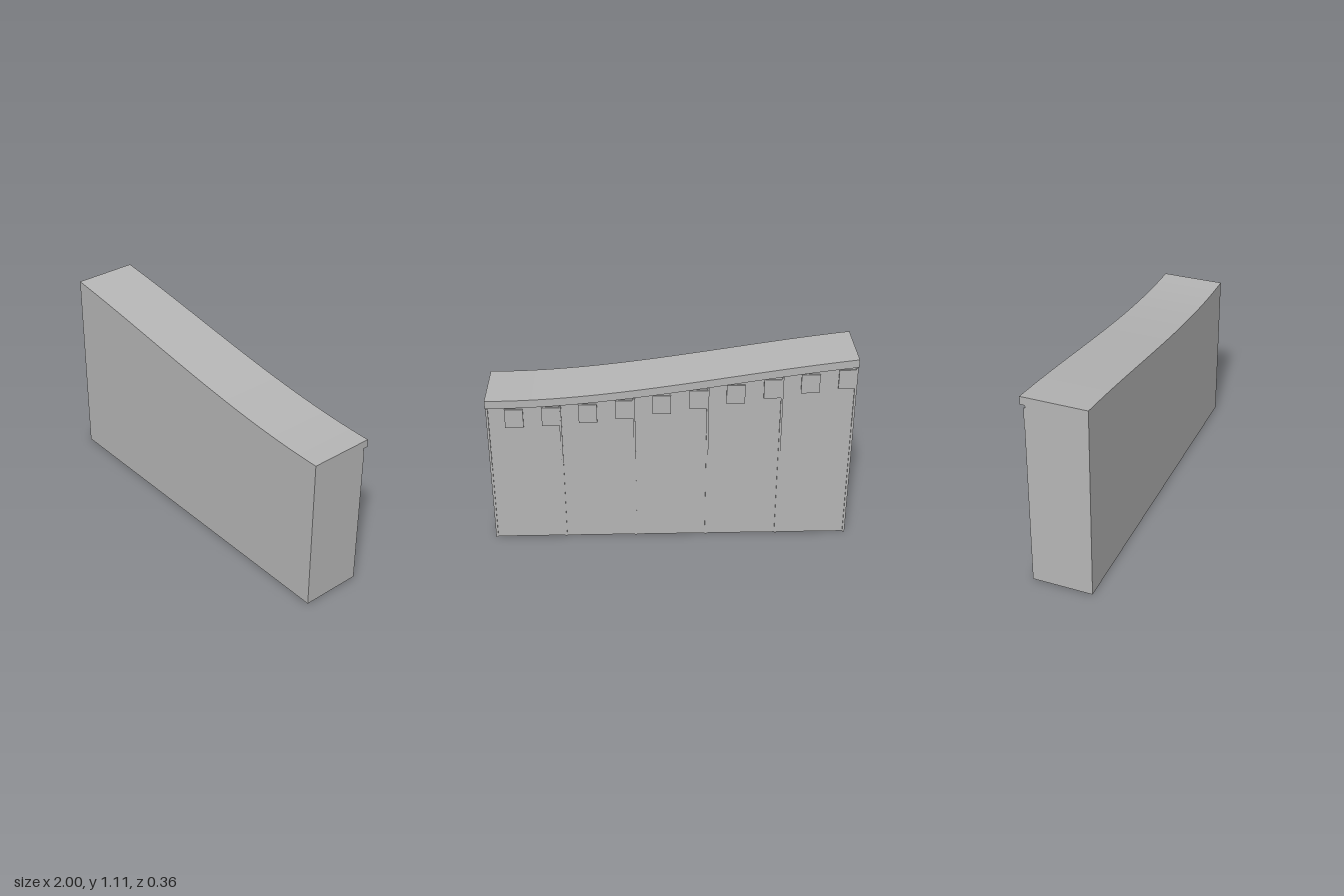
import * as THREE from 'three';

// Height of the sweeping top edge at x
const topAt = x => 0.97 - 0.14 * x + 0.03 * x * x + 0.03 * x * x * x;

// Strip between two height rules, extruded from zBack to zFront
function strip(x0, x1, low, high, zBack, zFront, steps) {
  const s = new THREE.Shape();
  const xs = Array.from({ length: steps + 1 }, (_, i) => x0 + (x1 - x0) * i / steps);
  s.moveTo(x0, low(x0));
  xs.slice(1).forEach(x => s.lineTo(x, low(x)));
  xs.reverse().forEach(x => s.lineTo(x, high(x)));
  const g = new THREE.ExtrudeGeometry(s, { depth: zFront - zBack, bevelEnabled: false });
  g.translate(0, 0, zBack);
  return g;
}

export function createModel() {
  const group = new THREE.Group();
  const stone = new THREE.MeshStandardMaterial({ color: 0xb6b6b6 });
  stone.name = 'stone grey';
  const add = (name, geometry) => {
    const mesh = new THREE.Mesh(geometry, stone);
    mesh.name = name;
    group.add(mesh);
  };

  // Wall with a flat front and a curved top
  add('wall', strip(-1, 1, () => 0, topAt, -0.153, 0.18, 32));

  // Overhanging lip along the back of the top edge
  add('lip', strip(-1, 1, x => topAt(x) - 0.045, topAt, -0.18, -0.153, 32));

  // Narrow upright ribs dividing the back into five bays
  for (let i = 0; i <= 5; i++) {
    const x = THREE.MathUtils.clamp(-1 + i * 0.4, -0.994, 0.994);
    add('rib', strip(x - 0.006, x + 0.006, () => 0, t => topAt(t) - 0.06, -0.16, -0.153, 1));
  }

  // Row of small square blocks beneath the lip
  for (let i = 0; i < 10; i++) {
    const x = -1 + i * 0.2;
    const top = topAt(x + 0.05) - 0.064;
    add('block', strip(x, x + 0.1, () => top - 0.11, () => top, -0.162, -0.153, 1));
  }

  return group;
}
